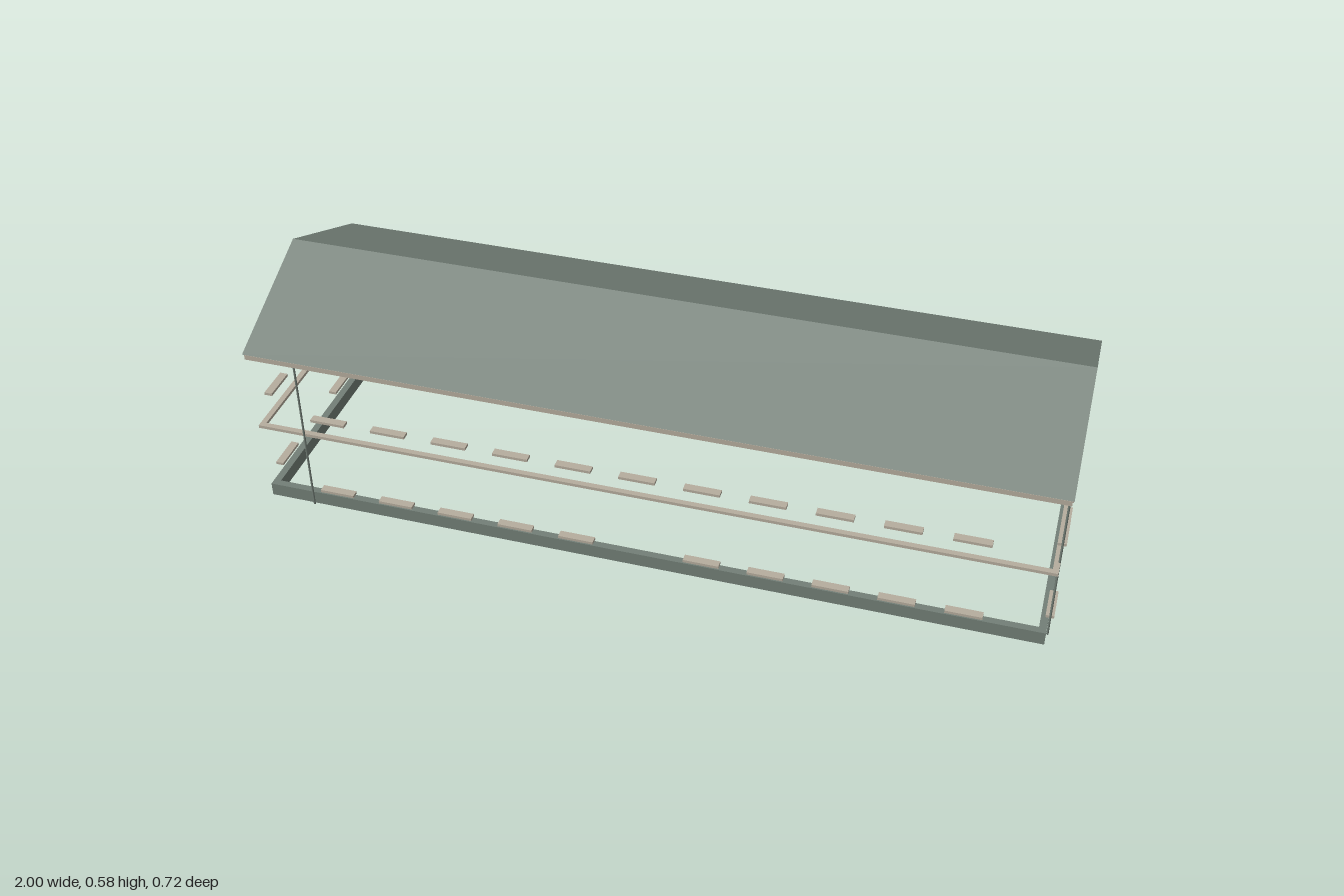
import * as THREE from 'three';

const slate = new THREE.MeshStandardMaterial({ color: 0x737f77 });
slate.name = 'slate';
const slateSheet = new THREE.MeshStandardMaterial({ color: 0x737f77, side: THREE.DoubleSide });
slateSheet.name = 'slate sheet';
const stone = new THREE.MeshStandardMaterial({ color: 0xb6ad9e });
stone.name = 'stone';

// Rectangular ring lying flat: outer half sizes, wall thickness, bottom and top
function ring(name, hx, hz, t, y0, y1, material) {
  const rect = (path, x, z) => path.moveTo(-x, -z).lineTo(x, -z).lineTo(x, z).lineTo(-x, z).closePath();
  const shape = rect(new THREE.Shape(), hx, hz);
  shape.holes.push(rect(new THREE.Path(), hx - t, hz - t));
  const geo = new THREE.ExtrudeGeometry(shape, { depth: y1 - y0, bevelEnabled: false });
  geo.rotateX(-Math.PI / 2).translate(0, y0, 0);
  const mesh = new THREE.Mesh(geo, material);
  mesh.name = name;
  return mesh;
}

// Gabled roof, hollow and open underneath
function gableRoof(hx, hz, y0, y1) {
  const p = [];
  const quad = (a, b, c, d) => p.push(...a, ...b, ...c, ...a, ...c, ...d);
  for (const s of [1, -1]) {
    quad([-s * hx, y0, s * hz], [s * hx, y0, s * hz], [s * hx, y1, 0], [-s * hx, y1, 0]);
    p.push(s * hx, y0, s * hz, s * hx, y0, -s * hz, s * hx, y1, 0);
  }
  const geo = new THREE.BufferGeometry();
  geo.setAttribute('position', new THREE.Float32BufferAttribute(p, 3));
  geo.computeVertexNormals();
  const mesh = new THREE.Mesh(geo, slateSheet);
  mesh.name = 'roof';
  return mesh;
}

export function createModel() {
  const model = new THREE.Group();
  const building = new THREE.Group();
  building.name = 'building';
  building.rotation.y = -0.0427;
  model.add(building);

  // Horizontal rings and roof
  building.add(
    ring('plinth', 0.975, 0.305, 0.018, 0, 0.035, slate),
    ring('floorBand', 0.98, 0.309, 0.014, 0.215, 0.223, stone),
    ring('eavesBand', 0.984, 0.313, 0.018, 0.424, 0.437, stone),
    gableRoof(0.9875, 0.316, 0.44, 0.578)
  );

  // Downpipes, one near each corner
  const pipeGeo = new THREE.CylinderGeometry(0.0027, 0.0027, 0.438, 8);
  for (const [x, z] of [[0.978, 0.268], [-0.857, 0.31], [-0.978, -0.268], [0.857, -0.31]]) {
    const pipe = new THREE.Mesh(pipeGeo, slate);
    pipe.name = 'downpipe';
    pipe.position.set(x, 0.219, z);
    building.add(pipe);
  }

  // Window sills on two floors; the middle of each ground floor wall is a doorway
  const longSill = new THREE.BoxGeometry(0.088, 0.007, 0.02);
  const endSill = new THREE.BoxGeometry(0.02, 0.007, 0.088);
  const addSill = (geo, x, y, z) => {
    const sill = new THREE.Mesh(geo, stone);
    sill.name = 'windowSill';
    sill.position.set(x, y, z);
    building.add(sill);
  };
  for (const y of [0.055, 0.275]) {
    const ground = y < 0.1;
    for (const side of [1, -1]) {
      for (let k = -5; k <= 5; k++) {
        if (!(ground && k === 0)) addSill(longSill, k * 0.157, y, side * 0.309);
      }
      for (let k = -1; k <= 1; k++) {
        if (!(ground && k === 0)) addSill(endSill, side * 0.977, y, 0.056 + side * 0.0105 + k * 0.158);
      }
    }
  }
  return model;
}
